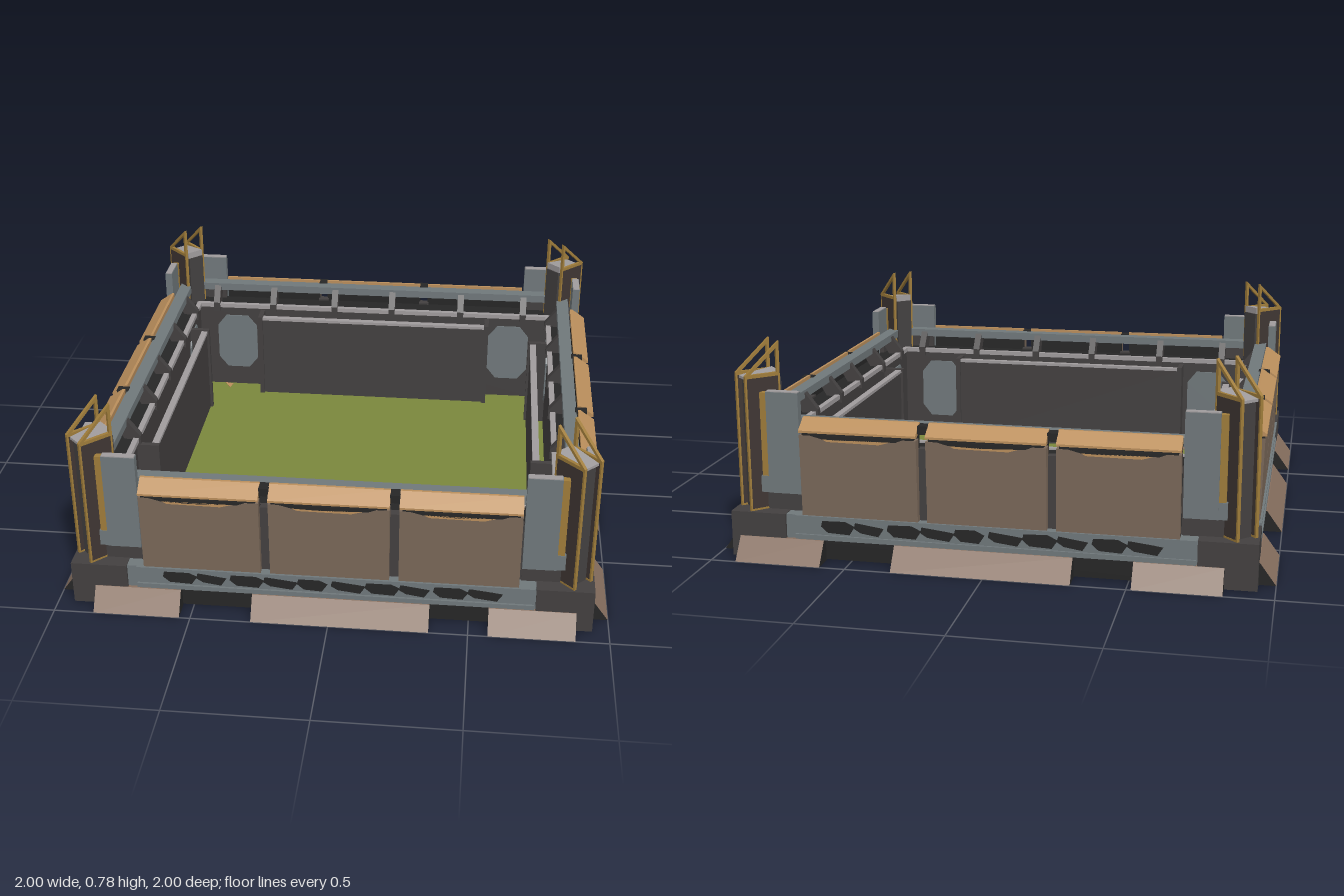
import * as THREE from 'three';

const mat = (name, color, side = THREE.FrontSide) => {
  const m = new THREE.MeshStandardMaterial({ color, side });
  m.name = name;
  return m;
};

export function createModel() {
  const brown = mat('brown', 0x876f5f), panelBrown = mat('panelBrown', 0x7a6859), tan = mat('tan', 0xbb8f5c);
  const steel = mat('steel', 0x70787b), dark = mat('darkGrey', 0x434040), black = mat('black', 0x262626);
  const grass = mat('grass', 0x7a873d), light = mat('lightGrey', 0xa09c9d), gold = mat('gold', 0x9f7c3a);
  const umber = mat('umber', 0x3f3633);

  const model = new THREE.Group();
  model.name = 'walledArena';

  const add = (parent, name, geo, material) => {
    const m = new THREE.Mesh(geo, material);
    m.name = name;
    parent.add(m);
    return m;
  };
  // box given by its ranges in x, y and z
  const box = (parent, name, material, [x0, x1], [y0, y1], [z0, z1]) =>
    add(parent, name, new THREE.BoxGeometry(x1 - x0, y1 - y0, z1 - z0)
      .translate((x0 + x1) / 2, (y0 + y1) / 2, (z0 + z1) / 2), material);
  const toShape = (pts) => new THREE.Shape(pts.map((p) => new THREE.Vector2(...p)));
  // cross-section in (z, y) swept along x from u0 to u1
  const sweep = (parent, name, material, pts, u0, u1, holes = []) => {
    const shape = toShape(pts);
    holes.forEach((h) => shape.holes.push(toShape(h)));
    const geo = new THREE.ExtrudeGeometry(shape, { depth: u1 - u0, bevelEnabled: false })
      .rotateY(-Math.PI / 2).translate(u1, 0, 0);
    return add(parent, name, geo, material);
  };
  // thin plate facing +z
  const plate = (parent, name, material, pts, z, depth = 0.006) =>
    add(parent, name, new THREE.ExtrudeGeometry(toShape(pts), { depth, bevelEnabled: false }).translate(0, 0, z), material);
  // square ring around the whole enclosure
  const ring = (name, material, outer, inner, y0, y1) => {
    const square = (h) => [[-h, -h], [h, -h], [h, h], [-h, h]];
    const shape = toShape(square(outer));
    shape.holes.push(toShape(square(inner)));
    add(model, name, new THREE.ExtrudeGeometry(shape, { depth: y1 - y0, bevelEnabled: false })
      .rotateX(-Math.PI / 2).translate(0, y0, 0), material);
  };

  // continuous rings: footing, base band, wall, rim and raised top beam
  ring('footing', black, 0.92, 0.88, 0.004, 0.08);
  ring('baseBand', steel, 0.93, 0.88, 0.08, 0.168);
  ring('innerWall', dark, 0.88, 0.79, 0.005, 0.415);
  ring('wallTop', black, 0.88, 0.8, 0.415, 0.422);
  ring('innerRim', light, 0.803, 0.782, 0.41, 0.428);
  ring('topBeam', steel, 0.875, 0.825, 0.478, 0.51);

  // floor with worn patches in the corners
  box(model, 'grassFloor', grass, [-0.87, 0.87], [0.002, 0.018], [-0.87, 0.87]);
  const patch = (name, material, pts, y) => add(model, name,
    new THREE.ExtrudeGeometry(toShape(pts.map(([x, z]) => [x, -z])), { depth: 0.019 + 2 * y, bevelEnabled: false })
      .rotateX(-Math.PI / 2).translate(0, 0.001 - y, 0), material);
  patch('dirtPatch', brown, [[-0.86, 0.45], [-0.79, 0.48], [-0.74, 0.5], [-0.72, 0.62], [-0.66, 0.67], [-0.62, 0.72], [-0.5, 0.74], [-0.38, 0.79], [-0.35, 0.86], [-0.86, 0.86]], 0);
  patch('darkDirt', umber, [[-0.7, 0.66], [-0.64, 0.68], [-0.63, 0.73], [-0.7, 0.72]], 0.001);
  patch('darkDirtCorner', umber, [[-0.79, 0.66], [-0.75, 0.7], [-0.7, 0.79], [-0.79, 0.79]], 0.001);
  patch('darkDirtFront', umber, [[-0.52, 0.75], [-0.4, 0.765], [-0.38, 0.79], [-0.5, 0.79]], 0.001);
  patch('sandPatch', tan, [[-0.79, 0.58], [-0.74, 0.57], [-0.73, 0.63], [-0.77, 0.65]], 0.001);
  patch('sandPatchFront', tan, [[-0.7, 0.74], [-0.6, 0.73], [-0.54, 0.77], [-0.7, 0.78]], 0.001);
  patch('sandPatchRight', tan, [[0.74, 0.65], [0.79, 0.63], [0.79, 0.71], [0.75, 0.7]], 0);
  patch('sandPatchFrontRight', tan, [[0.65, 0.74], [0.68, 0.75], [0.69, 0.78], [0.66, 0.77]], 0);
  patch('sandPatchBack', tan, [[-0.69, -0.79], [-0.65, -0.78], [-0.66, -0.74]], 0);

  // the four sides: front, right, back, left
  const shifts = [{ ramp: 0, rail: 0 }, { ramp: -0.008, rail: 0.05 }, { ramp: -0.053, rail: -0.02 }, { ramp: -0.01, rail: -0.06 }];
  shifts.forEach(({ ramp, rail }, k) => {
    const side = new THREE.Group();
    side.name = ['front', 'right', 'back', 'left'][k] + 'Side';
    side.rotation.y = k * Math.PI / 2;
    model.add(side);

    // sloping ramps with dark ends
    for (const [a, b] of [[-0.855, -0.54], [-0.28, 0.36], [0.57, 0.88]])
      sweep(side, 'ramp', [black, brown], [[0.915, 0], [1, 0], [0.942, 0.08], [0.915, 0.08]], a + ramp, b + ramp);

    // dark slots in the base band
    for (let i = 0; i < 10; i++) {
      const u = -0.6 + i * 0.122, w = i % 3 === 1 ? 0.085 : 0.1, up = i % 2 ? 0.012 : 0;
      plate(side, 'bandSlot', black, [[u + 0.02, 0.108 + up / 2], [u + w, 0.104], [u + w + 0.02, 0.135], [u + w - 0.015, 0.152 - up], [u, 0.15], [u - 0.005, 0.13]], 0.927);
    }
    sweep(side, 'bandLip', steel, [[0.92, 0.08], [0.938, 0.08], [0.938, 0.098], [0.92, 0.098]], -0.7, 0.73);
    sweep(side, 'bandTopLip', steel, [[0.92, 0.155], [0.938, 0.155], [0.938, 0.168], [0.92, 0.168]], -0.7, 0.73);

    // armour panels with sloping caps
    for (const c of [-0.46, 0, 0.46]) {
      const [u0, u1] = [c - 0.213, c + 0.213];
      sweep(side, 'armourPanel', panelBrown, [[0.9, 0.168], [0.93, 0.168], [0.938, 0.465], [0.9, 0.465]], u0, u1);
      box(side, 'panelBacking', black, [u0, u1], [0.168, 0.5], [0.888, 0.9]);
      box(side, 'panelSeam', black, [u0 + 0.01, u1 - 0.01], [0.462, 0.482], [0.9, 0.937]);
      sweep(side, 'panelCap', tan, [[0.943, 0.475], [0.943, 0.483], [0.89, 0.52], [0.88, 0.52], [0.88, 0.5], [0.92, 0.475]], u0, u1);
      plate(side, 'wornShadow', black, [[c - 0.13, 0.455], [c - 0.02, 0.451], [c + 0.14, 0.456], [c + 0.17, 0.468], [c - 0.18, 0.468]], 0.934);
      plate(side, 'wornEdge', tan, [[c - 0.11, 0.446], [c + 0.08, 0.444], [c + 0.12, 0.456], [c - 0.13, 0.456]], 0.934);
    }
    // posts and cap clips between the panels
    for (const u of [-0.23, 0.23]) {
      box(side, 'panelPost', dark, [u - 0.022, u + 0.022], [0.168, 0.43], [0.875, 0.905]);
      box(side, 'capClip', black, [u - 0.018, u + 0.018], [0.483, 0.513], [0.87, 0.915]);
    }

    // shield plates beside the corner posts
    for (const s of [-1, 1]) {
      const span = (a, b) => (s > 0 ? [a, b] : [-b, -a]);
      box(side, 'shieldPlate', steel, span(0.68, 0.8), [0.24, 0.61], [0.887, 0.917]);
      box(side, 'shieldTop', light, span(0.682, 0.798), [0.61, 0.613], [0.889, 0.915]);
      box(side, 'shieldTrim', gold, span(0.8, 0.825), [0.3, 0.605], [0.885, 0.91]);
      box(side, 'shieldFoot', steel, span(0.8, 0.83), [0.24, 0.3], [0.885, 0.913]);
      box(side, 'shieldBacking', dark, span(0.68, 0.83), [0.168, 0.48], [0.865, 0.885]);
      // octagonal hatch on the inner wall
      const hatch = [[0.57, 0.11], [0.67, 0.11], [0.71, 0.16], [0.71, 0.32], [0.67, 0.37], [0.57, 0.37], [0.53, 0.32], [0.53, 0.16]];
      plate(side, 'wallHatch', steel, hatch.map(([x, y]) => [-s * x, y]), -0.79).rotation.y = Math.PI;
    }

    // brackets holding the beam above the inner rim
    for (const u of [-0.68, -0.4, -0.09, 0.17, 0.45, 0.71])
      sweep(side, 'rimBracket', dark, [[0.775, 0.395], [0.83, 0.41], [0.872, 0.48], [0.825, 0.5], [0.775, 0.435]], u - 0.014, u + 0.014);

    // free-standing inner screen with end posts
    const [r0, r1] = [-0.5 + rail, 0.52 + rail];
    box(side, 'innerScreen', dark, [r0, r1], [0.018, 0.385], [0.715, 0.735]);
    box(side, 'screenRail', light, [r0, r1], [0.385, 0.397], [0.712, 0.738]);
    for (const u of [r0, r1])
      box(side, 'screenPost', dark, [u - 0.01, u + 0.01], [0.018, 0.402], [0.705, 0.79]);
  });

  // the four corner towers, built along +z and turned to the diagonals
  for (let k = 0; k < 4; k++) {
    const sx = k < 2 ? 1 : -1, sz = k % 3 ? -1 : 1;
    const span = (s) => (s > 0 ? [0.735, 0.94] : [-0.94, -0.735]);
    // corner block as an L around the wall
    box(model, 'cornerBlock', dark, span(sx), [0.003, 0.17], sz > 0 ? [0.872, 0.94] : [-0.94, -0.872]);
    box(model, 'cornerBlock', dark, sx > 0 ? [0.872, 0.94] : [-0.94, -0.872], [0.0035, 0.1695], span(sz));

    const tower = new THREE.Group();
    tower.name = 'cornerTower';
    tower.rotation.y = Math.PI / 4 + k * Math.PI / 2;
    model.add(tower);
    box(tower, 'towerCore', dark, [-0.035, 0.035], [0.165, 0.645], [1.13, 1.25]);
    sweep(tower, 'towerTop', light, [[1.135, 0.645], [1.26, 0.645], [1.26, 0.655], [1.135, 0.672]], -0.036, 0.036);
    for (const t of [-0.042, 0.042]) {
      // gold frame with an open loop above a dark infill
      sweep(tower, 'finFrame', gold, [[1.14, 0.17], [1.272, 0.17], [1.272, 0.665], [1.14, 0.78]], t - 0.006, t + 0.006, [
        [[1.147, 0.177], [1.147, 0.655], [1.265, 0.655], [1.265, 0.177]],
        [[1.151, 0.668], [1.151, 0.756], [1.252, 0.668]],
      ]);
      box(tower, 'finInfill', umber, [t - 0.005, t + 0.005], [0.175, 0.657], [1.146, 1.266]);
    }
  }
  return model;
}
